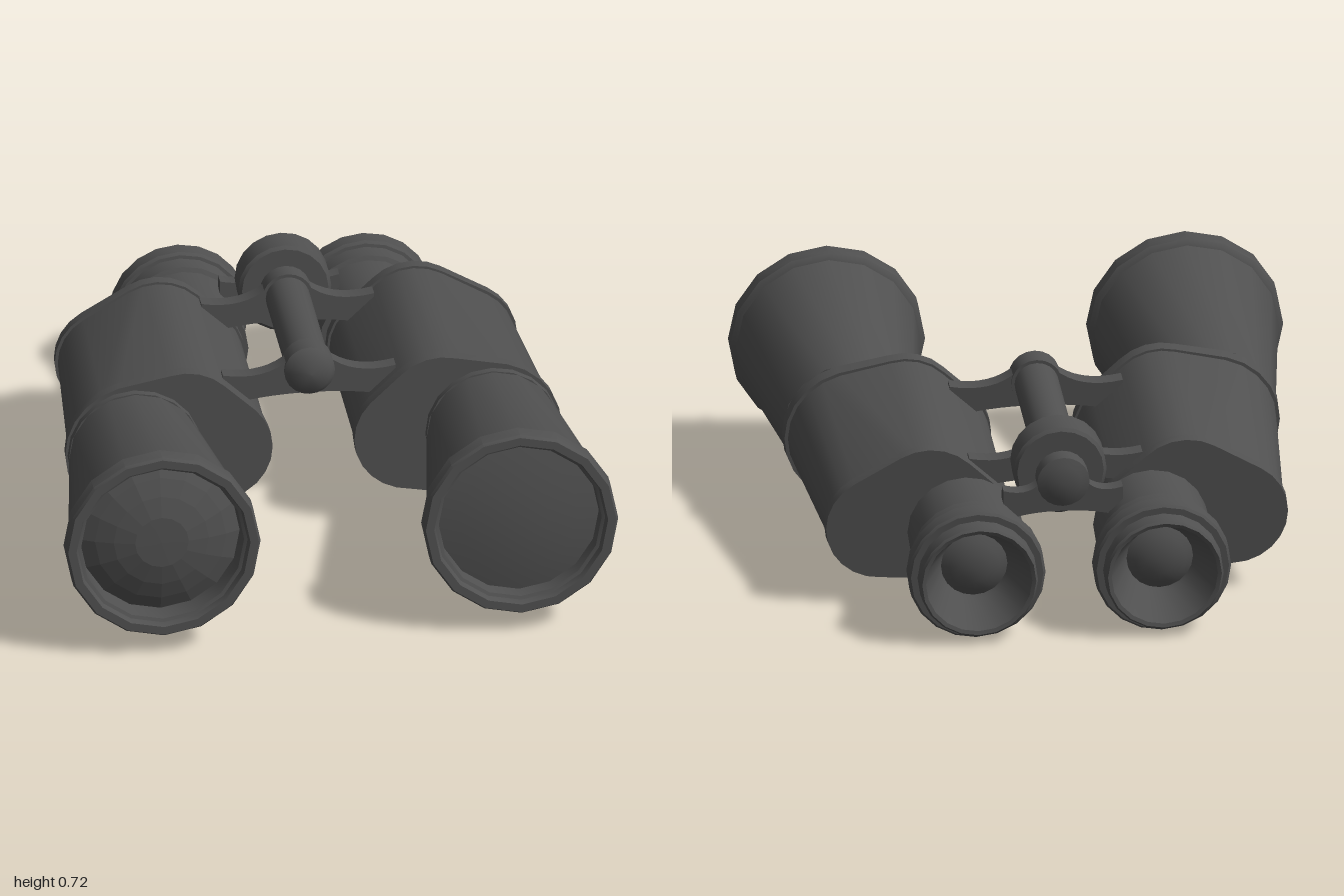
import * as THREE from 'three';
import { toCreasedNormals } from 'three/addons/utils/BufferGeometryUtils.js';
import { ConvexGeometry } from 'three/addons/geometries/ConvexGeometry.js';

const casing = new THREE.MeshStandardMaterial({ color: 0x505050 });
casing.name = 'darkGreyCasing';

function addMesh(parent, name, geometry, x = 0, y = 0, crease = 0.6) {
  const mesh = new THREE.Mesh(toCreasedNormals(geometry, crease), casing);
  mesh.name = name;
  mesh.position.set(x, y, 0);
  parent.add(mesh);
}

// Turned part around the z axis; profile of [radius, z], running back to front outside
function turned(profile, sides) {
  const points = profile.map(([r, z]) => new THREE.Vector2(r, z));
  return new THREE.LatheGeometry(points, sides).rotateX(Math.PI / 2);
}

// Prism housing section at depth z: inner lobe, upper shoulder and outer lobe
function section(side, z, outerRadius, grow) {
  const points = [];
  const lobes = [[0.325, -0.01, 0.18], [0.43, 0.085, 0.182], [0.59, 0, outerRadius]];
  for (const [cx, cy, r] of lobes) {
    for (let i = 0; i < 24; i++) {
      const a = (i / 24) * Math.PI * 2;
      points.push(new THREE.Vector3(
        side * (cx + Math.cos(a) * (r + grow)), cy + Math.sin(a) * (r + grow), z));
    }
  }
  return points;
}

const prism = (side, z0, r0, z1, r1, grow) =>
  new ConvexGeometry([...section(side, z0, r0, grow), ...section(side, z1, r1, grow)]);

// Hinge bridge: a bar with a hollow arch beneath, extruded along z
function bridge(halfWidth, top, tip, z, depth) {
  const s = new THREE.Shape();
  s.moveTo(-halfWidth, top);
  s.quadraticCurveTo(-halfWidth * 0.5, top - 0.03, -0.06, top + 0.05);
  s.lineTo(0.06, top + 0.05);
  s.quadraticCurveTo(halfWidth * 0.5, top - 0.03, halfWidth, top);
  s.lineTo(halfWidth, tip);
  s.quadraticCurveTo(halfWidth * 0.6, top - 0.08, 0, top - 0.08);
  s.quadraticCurveTo(-halfWidth * 0.6, top - 0.08, -halfWidth, tip);
  s.closePath();
  return new THREE.ExtrudeGeometry(s, { depth, bevelEnabled: false, curveSegments: 8 }).translate(0, 0, z);
}

export function createModel() {
  const model = new THREE.Group();
  model.name = 'binoculars';
  model.position.y = 0.318;
  model.rotation.x = -0.08;

  for (const side of [1, -1]) {
    const half = new THREE.Group();
    half.name = side > 0 ? 'leftHalf' : 'rightHalf';
    model.add(half);

    // Flared objective barrel with a stepped rim
    addMesh(half, 'objectiveBarrel', turned([
      [0, 0.252], [0.225, 0.252], [0.308, 0.895], [0.318, 0.9], [0.327, 0.91],
      [0.327, 0.968], [0.32, 0.979], [0.292, 0.979], [0.285, 0.955],
      [0.274, 0.95], [0.268, 0.87],
    ], 16), side * 0.6);

    // Objective lens: smooth on one side, ringed facets on the other
    if (side > 0) {
      addMesh(half, 'objectiveLens', turned([
        [0.272, 0.9], [0.2, 0.913], [0.1, 0.924], [0, 0.927],
      ], 16), 0.6);
    } else {
      addMesh(half, 'objectiveLens', turned([
        [0.27, 0.875], [0.22, 0.9], [0.16, 0.922], [0.09, 0.938], [0, 0.94],
      ], 16), -0.6, 0, 0.02);
    }

    // Prism housing, its end collars and the neck facing the barrel
    addMesh(half, 'prismHousing', prism(side, -0.52, 0.175, 0.19, 0.23, 0));
    addMesh(half, 'frontCollar', prism(side, 0.17, 0.232, 0.218, 0.235, 0.008));
    addMesh(half, 'rearCollar', prism(side, -0.55, 0.176, -0.508, 0.178, 0.008));
    addMesh(half, 'barrelNeck', turned([
      [0, 0.2], [0.226, 0.2], [0.224, 0.243], [0, 0.243],
    ], 20), side * 0.6);

    // Eyepiece with grip rings and a funnel-shaped eyecup
    addMesh(half, 'eyepiece', turned([
      [0.11, -0.835], [0.12, -0.85], [0.178, -0.983], [0.191, -0.987], [0.198, -0.979],
      [0.2, -0.925], [0.222, -0.925], [0.23, -0.917], [0.23, -0.86], [0.222, -0.85],
      [0.211, -0.848], [0.209, -0.785], [0.194, -0.778], [0.192, -0.565], [0, -0.565],
    ], 20), side * 0.311, -0.015);
    addMesh(half, 'eyeLens', turned([
      [0, -0.87], [0.05, -0.865], [0.085, -0.853], [0.115, -0.835],
    ], 20), side * 0.311, -0.015);
  }

  // Central hinge, focus wheel and bridges
  const hinge = new THREE.Group();
  hinge.name = 'centralHinge';
  model.add(hinge);
  const axisY = 0.218;
  addMesh(hinge, 'hingeShaft', turned([
    [0, -0.5], [0.074, -0.5], [0.074, 0.1], [0, 0.1],
  ], 20), 0, axisY);
  addMesh(hinge, 'frontHingeCap', turned([
    [0, 0.06], [0.085, 0.06], [0.085, 0.135], [0.07, 0.15], [0, 0.172],
  ], 20), 0, axisY);
  addMesh(hinge, 'rearHingeHub', turned([
    [0, -0.52], [0.085, -0.52], [0.085, -0.445], [0, -0.445],
  ], 20), 0, axisY);
  addMesh(hinge, 'focusWheel', turned([
    [0, -0.632], [0.145, -0.632], [0.156, -0.622], [0.156, -0.522], [0.145, -0.512], [0, -0.512],
  ], 20), 0, axisY);
  addMesh(hinge, 'focusSpindle', turned([
    [0, -0.7], [0.045, -0.7], [0.045, -0.62], [0, -0.62],
  ], 16), 0, axisY);
  addMesh(hinge, 'eyepieceHub', turned([
    [0, -0.742], [0.06, -0.728], [0.088, -0.718], [0.088, -0.66], [0, -0.66],
  ], 20), 0, axisY);
  addMesh(hinge, 'frontBridge', bridge(0.29, 0.214, 0.1, 0.068, 0.055));
  addMesh(hinge, 'rearBridge', bridge(0.29, 0.214, 0.1, -0.5, 0.055));
  addMesh(hinge, 'eyepieceBridge', bridge(0.2, 0.19, 0.08, -0.712, 0.05));
  return model;
}
